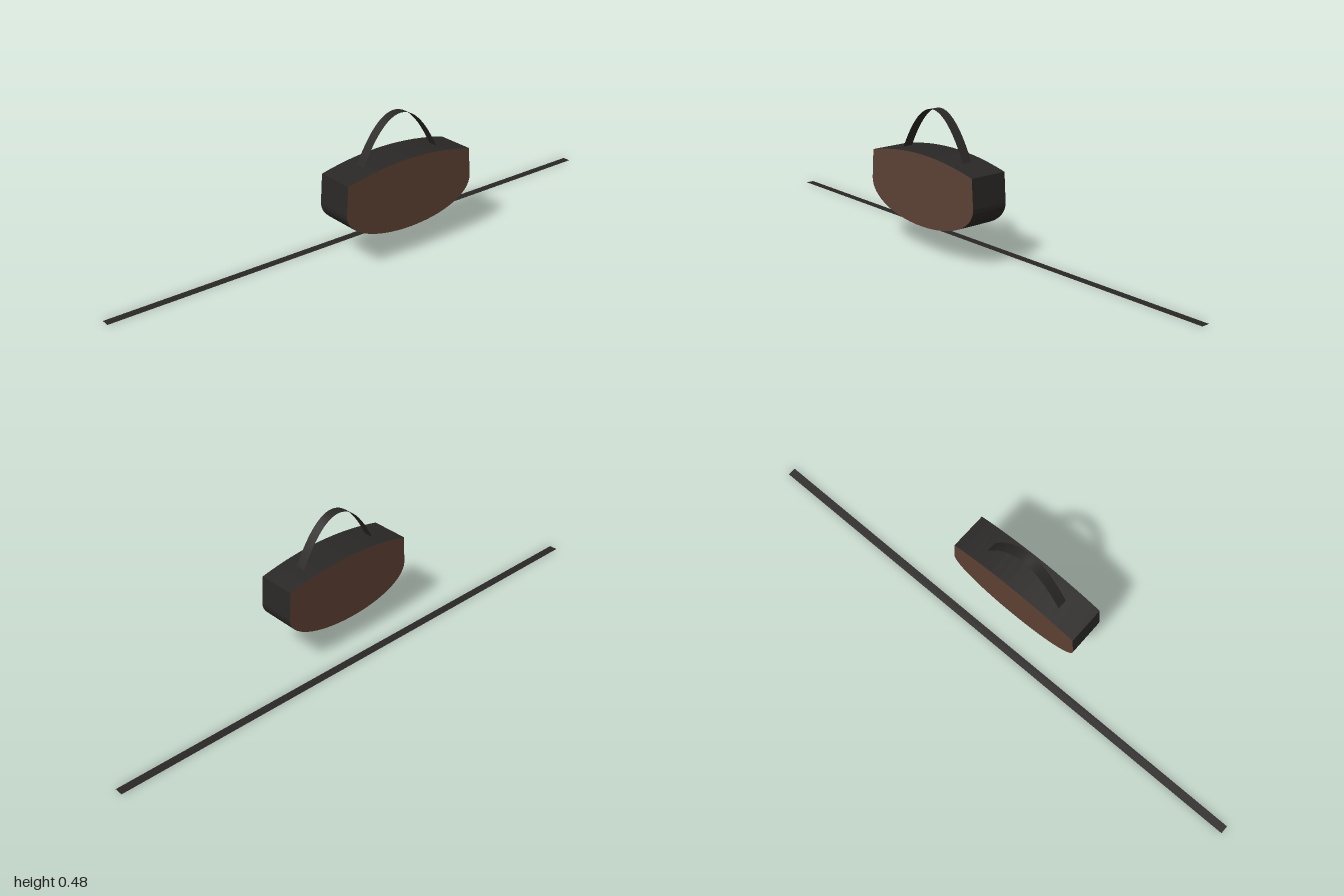
import * as THREE from 'three';

const DARK = 0x2a2826, BROWN = 0x5c4033;

const material = (color, side = THREE.FrontSide) =>
  new THREE.MeshStandardMaterial({ color, side });

// Bag: rounded belly, slightly flared sides and a gently arched top
function makeBag() {
  const shape = new THREE.Shape();
  shape.moveTo(-0.255, 0.31);
  shape.lineTo(-0.262, 0.21);
  shape.bezierCurveTo(-0.262, 0.14, -0.14, 0.097, 0, 0.097);
  shape.bezierCurveTo(0.14, 0.097, 0.262, 0.14, 0.262, 0.21);
  shape.lineTo(0.255, 0.31);
  shape.quadraticCurveTo(0, 0.372, -0.255, 0.31);
  const geometry = new THREE.ExtrudeGeometry(shape, {
    depth: 0.137, bevelEnabled: false, curveSegments: 16,
  });
  geometry.translate(0, 0, -0.017);
  // Brown front and back panels, dark band all round
  const bag = new THREE.Mesh(geometry, [material(BROWN), material(DARK)]);
  bag.name = 'bagBody';
  return bag;
}

// Handle: a thin ribbon bent into a parabolic arch
function makeHandle() {
  const halfSpan = 0.155, base = 0.326, rise = 0.156;
  const geometry = new THREE.PlaneGeometry(2 * halfSpan, 0.036, 24, 1);
  geometry.rotateX(-Math.PI / 2);
  const p = geometry.attributes.position;
  for (let i = 0; i < p.count; i++) {
    const t = p.getX(i) / halfSpan;
    p.setY(i, base + rise * (1 - t * t));
  }
  geometry.translate(0, 0, 0.051);
  geometry.computeVertexNormals();
  const handle = new THREE.Mesh(geometry, material(DARK, THREE.DoubleSide));
  handle.name = 'handle';
  return handle;
}

// Long flat strap lying on the ground behind the bag
function makeStrap() {
  const geometry = new THREE.PlaneGeometry(2, 0.03);
  geometry.rotateX(-Math.PI / 2);
  geometry.translate(0, 0, -0.105);
  const strap = new THREE.Mesh(geometry, material(DARK, THREE.DoubleSide));
  strap.name = 'strap';
  return strap;
}

export function createModel() {
  const group = new THREE.Group();
  group.name = 'handbag';
  group.add(makeBag(), makeHandle(), makeStrap());
  return group;
}
